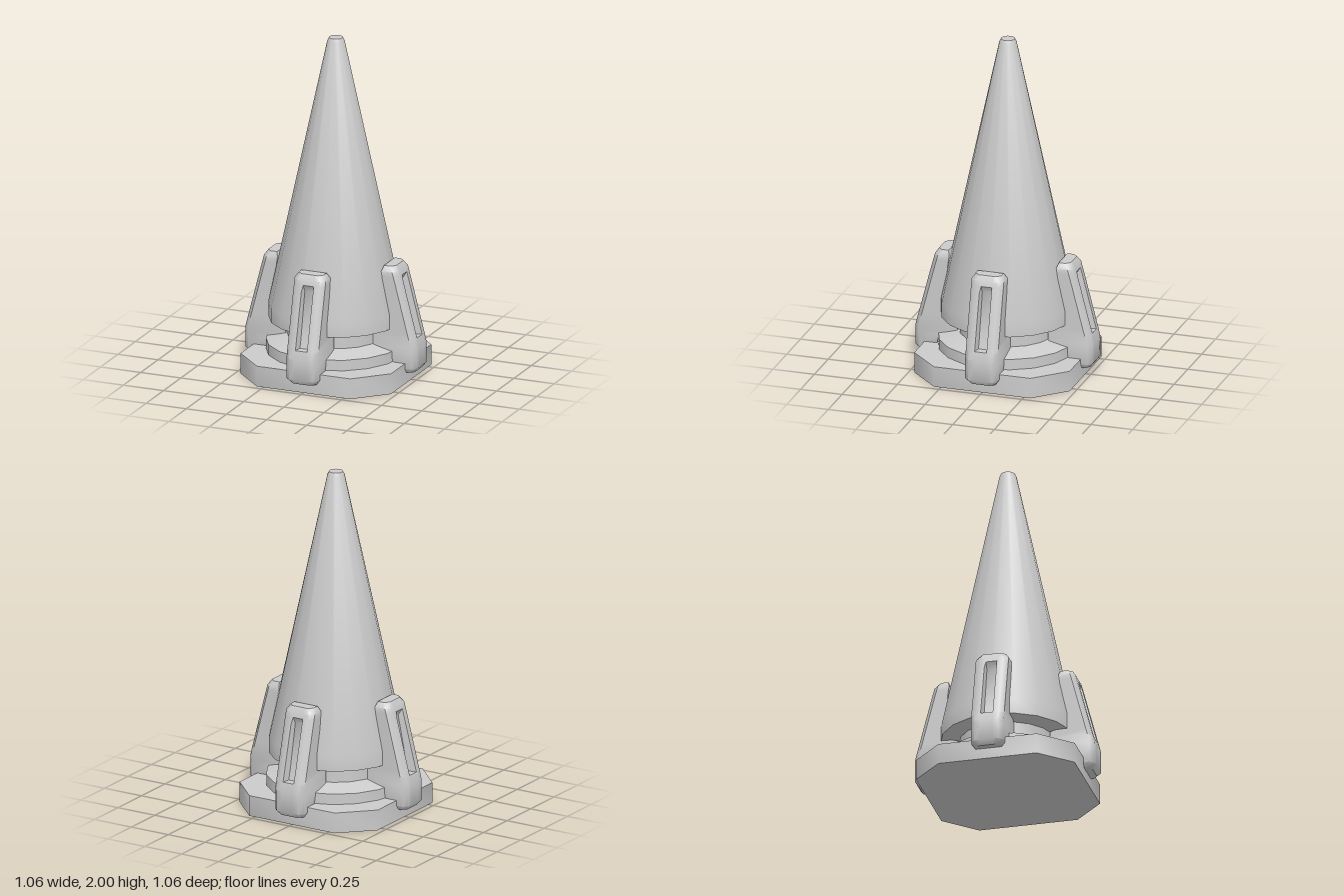
import * as THREE from 'three';
import { toCreasedNormals } from 'three/addons/utils/BufferGeometryUtils.js';

const material = new THREE.MeshStandardMaterial({ color: 0xcccccc });

function makeMesh(name, geometry, crease = 0.6) {
  const mesh = new THREE.Mesh(toCreasedNormals(geometry, crease), material);
  mesh.name = name;
  return mesh;
}

// 18-sided turned part from [radius, y] pairs, listed from bottom to top
function turned(name, profile) {
  const points = profile.map(([r, y]) => new THREE.Vector2(r, y));
  return makeMesh(name, new THREE.LatheGeometry(points, 18, Math.PI / 2));
}

// Octagonal slab: a square with cut corners
function basePlate() {
  const a = 0.468, b = 0.29;
  const corners = [[a, -b], [a, b], [b, a], [-b, a], [-a, b], [-a, -b], [-b, -a], [b, -a]];
  const shape = new THREE.Shape(corners.map(([x, y]) => new THREE.Vector2(x, y)));
  const geometry = new THREE.ExtrudeGeometry(shape, { depth: 0.122, bevelEnabled: false });
  geometry.rotateX(-Math.PI / 2);
  return makeMesh('basePlate', geometry, 0.85);
}

// Clamp: cross-sections stacked in y, with a groove sunk into the outer face
function clampGeometry() {
  // y, inner radius, outer radius, half width, groove depth
  const levels = [
    [0.063, 0.44, 0.51, 0.078, 0],
    [0.09, 0.40, 0.53, 0.097, 0],
    [0.18, 0.38, 0.53, 0.097, 0],
    [0.215, 0.27, 0.53, 0.097, 0],
    [0.265, 0.27, 0.518, 0.097, 0],
    [0.265, 0.27, 0.518, 0.097, 0.05],
    [0.305, 0.27, 0.507, 0.097, 0.05],
    [0.325, 0.35, 0.502, 0.097, 0.05],
    [0.59, 0.33, 0.433, 0.097, 0.035],
    [0.63, 0.325, 0.422, 0.097, 0],
    [0.66, 0.32, 0.414, 0.097, 0],
    [0.69, 0.33, 0.395, 0.078, 0],
  ];
  const bevel = 0.026, grooveTop = 0.036, grooveFloor = 0.029;
  const rings = levels.map(([y, inner, outer, w, depth]) => {
    const half = [
      [w, inner], [w, outer - bevel], [w - bevel, outer],
      [grooveTop, outer], [grooveFloor, outer - depth],
    ];
    const left = half.map(([x, z]) => new THREE.Vector3(-x, y, z));
    const right = half.map(([x, z]) => new THREE.Vector3(x, y, z)).reverse();
    return [...left, ...right];
  });
  const positions = [];
  const triangle = (...corners) => corners.forEach((p) => positions.push(p.x, p.y, p.z));
  const count = rings[0].length;
  for (let k = 0; k < rings.length - 1; k++) {
    for (let i = 0; i < count; i++) {
      const j = (i + 1) % count;
      const low = rings[k], high = rings[k + 1];
      triangle(low[i], low[j], high[j]);
      triangle(low[i], high[j], high[i]);
    }
  }
  // End caps
  const cap = (ring, up) => {
    const centre = ring[0].clone().add(ring[2]).add(ring[7]).add(ring[9]).multiplyScalar(0.25);
    for (let i = 0; i < count; i++) {
      const j = (i + 1) % count;
      if (up) triangle(centre, ring[i], ring[j]);
      else triangle(centre, ring[j], ring[i]);
    }
  };
  cap(rings[0], false);
  cap(rings[rings.length - 1], true);
  const geometry = new THREE.BufferGeometry();
  geometry.setAttribute('position', new THREE.Float32BufferAttribute(positions, 3));
  return geometry;
}

export function createModel() {
  const model = new THREE.Group();
  model.name = 'clampedSpike';

  model.add(basePlate());

  // Round collar that narrows to the neck
  model.add(turned('collar', [
    [0.402, 0.1], [0.402, 0.185], [0.28, 0.215], [0.28, 0.31],
  ]));

  // Tall spike with a short skirt and a blunt tip
  model.add(turned('spike', [
    [0.27, 0.312], [0.387, 0.316], [0.387, 0.405], [0.05, 1.98], [0.04, 2], [0, 2],
  ]));

  // Four clamps around the spike
  const geometry = clampGeometry();
  ['frontClamp', 'leftClamp', 'backClamp', 'rightClamp'].forEach((name, i) => {
    const clamp = new THREE.Group();
    clamp.name = name;
    const body = makeMesh(name + 'Body', geometry, 0.8);
    body.position.x = 0.007;
    clamp.add(body);
    clamp.rotation.y = i * Math.PI / 2;
    model.add(clamp);
  });

  return model;
}
